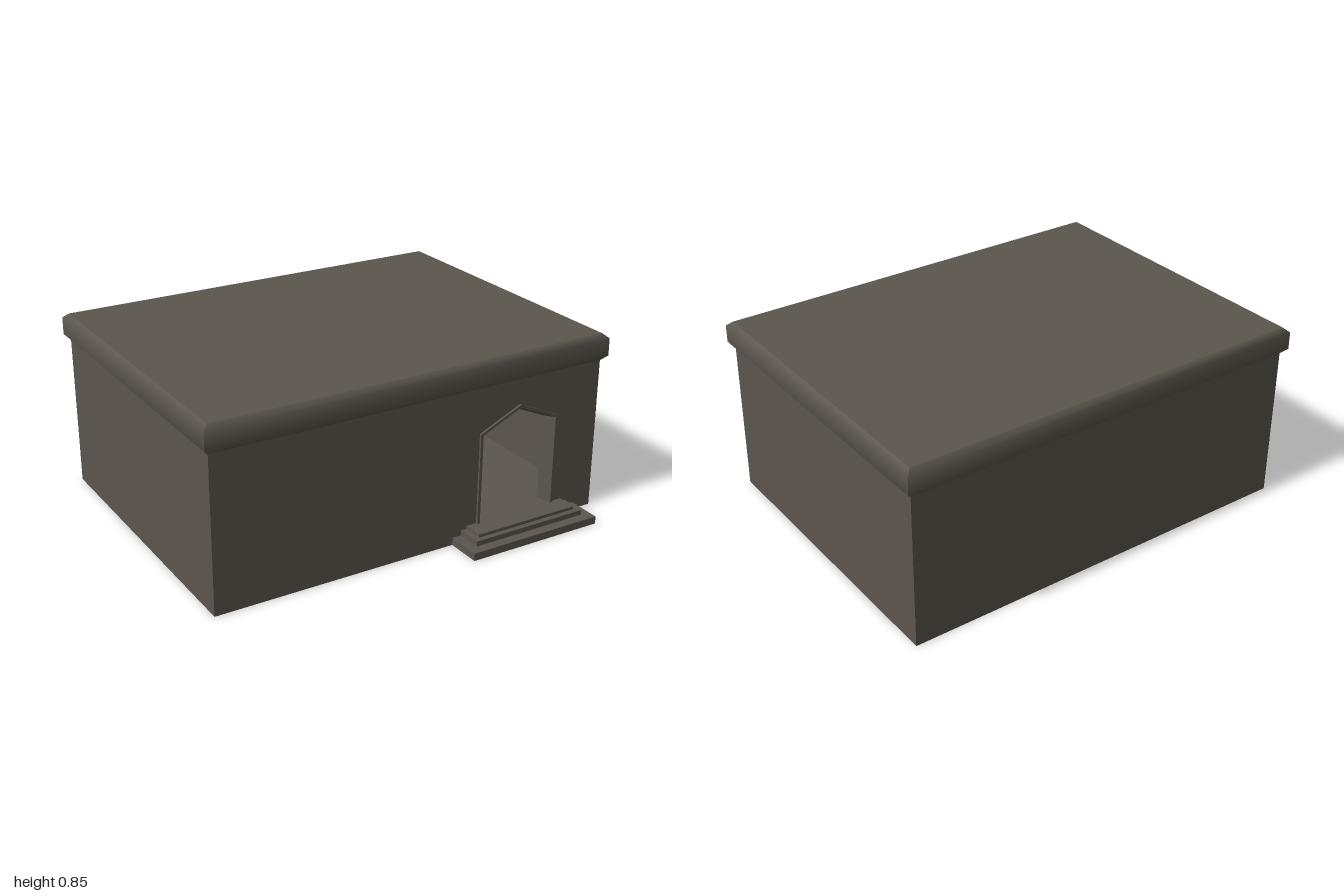
import * as THREE from 'three';

const stone = new THREE.MeshStandardMaterial({ color: 0x5b564e, side: THREE.DoubleSide });
stone.name = 'dark stone';

// Wall extents, main heights, wall thickness and the door's centre line
const X = 0.975, BACK = -0.805, FRONT = 0.66, WALL_TOP = 0.727, ROOF_TOP = 0.854;
const THICK = 0.06, TREAD = 0.075, DOOR_X = 0.534;
const MID_Z = (BACK + FRONT) / 2, DEPTH = FRONT - BACK, INNER_FRONT = FRONT - THICK;

// Steps from the bottom up: half width, front z, top y
const STEPS = [[0.339, 0.828, 0.036], [0.2925, 0.78, 0.06], [0.265, 0.755, TREAD]];

function add(group, name, geometry, x = 0, y = 0, z = 0) {
  const mesh = new THREE.Mesh(geometry, stone);
  mesh.name = name;
  mesh.position.set(x, y, z);
  group.add(mesh);
  return mesh;
}

const flatShape = (points) => new THREE.ShapeGeometry(new THREE.Shape(points.map((p) => new THREE.Vector2(...p))));

// Level rectangle facing up
function level(group, name, width, depth, x, y, z) {
  add(group, name, new THREE.PlaneGeometry(width, depth), x, y, z).rotation.x = -Math.PI / 2;
}

// Back and side walls, set in from the outer faces
function threeWalls(group, prefix, inset, bottom) {
  const height = WALL_TOP - bottom, y = (WALL_TOP + bottom) / 2;
  add(group, prefix + 'BackWall', new THREE.PlaneGeometry(2 * (X - inset), height), 0, y, BACK + inset)
    .rotation.y = Math.PI;
  for (const side of [-1, 1]) {
    add(group, prefix + (side > 0 ? 'LeftWall' : 'RightWall'),
      new THREE.PlaneGeometry(DEPTH - 2 * inset, height), side * (X - inset), y, MID_Z)
      .rotation.y = side * Math.PI / 2;
  }
}

// Skin between rings of points: sharp along the ring; smooth across it if asked
function loft(rings, smooth) {
  const pos = [], index = [];
  for (let s = 0; s < rings[0].length - 1; s++) {
    const base = pos.length / 3;
    rings.forEach((ring) => pos.push(...ring[s], ...ring[s + 1]));
    for (let r = 0; r < rings.length - 1; r++) {
      const a = base + r * 2;
      index.push(a, a + 1, a + 3, a, a + 3, a + 2);
    }
  }
  let geometry = new THREE.BufferGeometry();
  geometry.setAttribute('position', new THREE.Float32BufferAttribute(pos, 3));
  geometry.setIndex(index);
  if (!smooth) geometry = geometry.toNonIndexed();
  geometry.computeVertexNormals();
  return geometry;
}

// Pointed door outline, blended from the outer (t = 0) to the inner edge (t = 1)
function doorOutline(t) {
  const half = 0.213 - 0.035 * t, shoulder = 0.511 - 0.02 * t, apex = 0.607 - 0.035 * t;
  return [[DOOR_X - half, TREAD], [DOOR_X - half, shoulder], [DOOR_X, apex],
    [DOOR_X + half, shoulder], [DOOR_X + half, TREAD]];
}

export function createModel() {
  const model = new THREE.Group();
  model.name = 'building';

  // Outer walls; the front is cut out around the doorway and behind the hollow steps
  const stair = [];
  STEPS.forEach(([half, , top], i) => stair.push([half, i ? STEPS[i - 1][2] : 0], [half, top]));
  const cutLeft = stair.map(([half, y]) => [DOOR_X - half, y]);
  const cutRight = stair.map(([half, y]) => [DOOR_X + half, y]).reverse();
  add(model, 'outerFrontWall', flatShape([[-X, 0], ...cutLeft, ...doorOutline(0.4), ...cutRight,
    [X, 0], [X, WALL_TOP], [-X, WALL_TOP]]), 0, 0, FRONT);
  threeWalls(model, 'outer', 0, 0);

  // Room inside, one wall thickness in, with its floor level with the top step
  const rx = X - THICK, rd = DEPTH - 2 * THICK;
  add(model, 'innerFrontWall', flatShape([[-rx, TREAD], ...doorOutline(1), [rx, TREAD],
    [rx, WALL_TOP], [-rx, WALL_TOP]]), 0, 0, INNER_FRONT);
  threeWalls(model, 'inner', THICK, TREAD);
  level(model, 'floor', 2 * rx, rd, 0, TREAD, MID_Z);
  level(model, 'ceiling', 2 * rx, rd, 0, WALL_TOP, MID_Z);

  // Bevelled band around the roof edge
  const band = [[0, WALL_TOP - 0.002], [0.025, 0.75], [0.025, 0.832], [0, ROOF_TOP]].map(([out, y]) => [
    [-X - out, y, FRONT + out], [X + out, y, FRONT + out],
    [X + out, y, BACK - out], [-X - out, y, BACK - out], [-X - out, y, FRONT + out],
  ]);
  add(model, 'roofBand', loft(band, true));
  level(model, 'roof', 2 * X, DEPTH, 0, ROOF_TOP, MID_Z);

  // Door surround with a splayed inner face through the wall, and its threshold
  const profile = [[0, FRONT], [0, 0.67], [0.4, 0.67], [1, INNER_FRONT]];
  add(model, 'doorFrame', loft(profile.map(([t, z]) => doorOutline(t).map(([x, y]) => [x, y, z])), false));
  level(model, 'threshold', 0.4, THICK, DOOR_X, TREAD, FRONT - THICK / 2);

  // Hollow steps: risers and treads in one skin, closed by the top tread
  const rings = [];
  STEPS.forEach(([half, z, top], i) => {
    for (const y of [i ? STEPS[i - 1][2] : 0, top]) {
      rings.push([[DOOR_X - half, y, FRONT], [DOOR_X - half, y, z], [DOOR_X + half, y, z], [DOOR_X + half, y, FRONT]]);
    }
  });
  add(model, 'steps', loft(rings, false));
  const [half, z] = STEPS[2];
  level(model, 'topTread', 2 * half, z - FRONT, DOOR_X, TREAD, (z + FRONT) / 2);

  return model;
}
